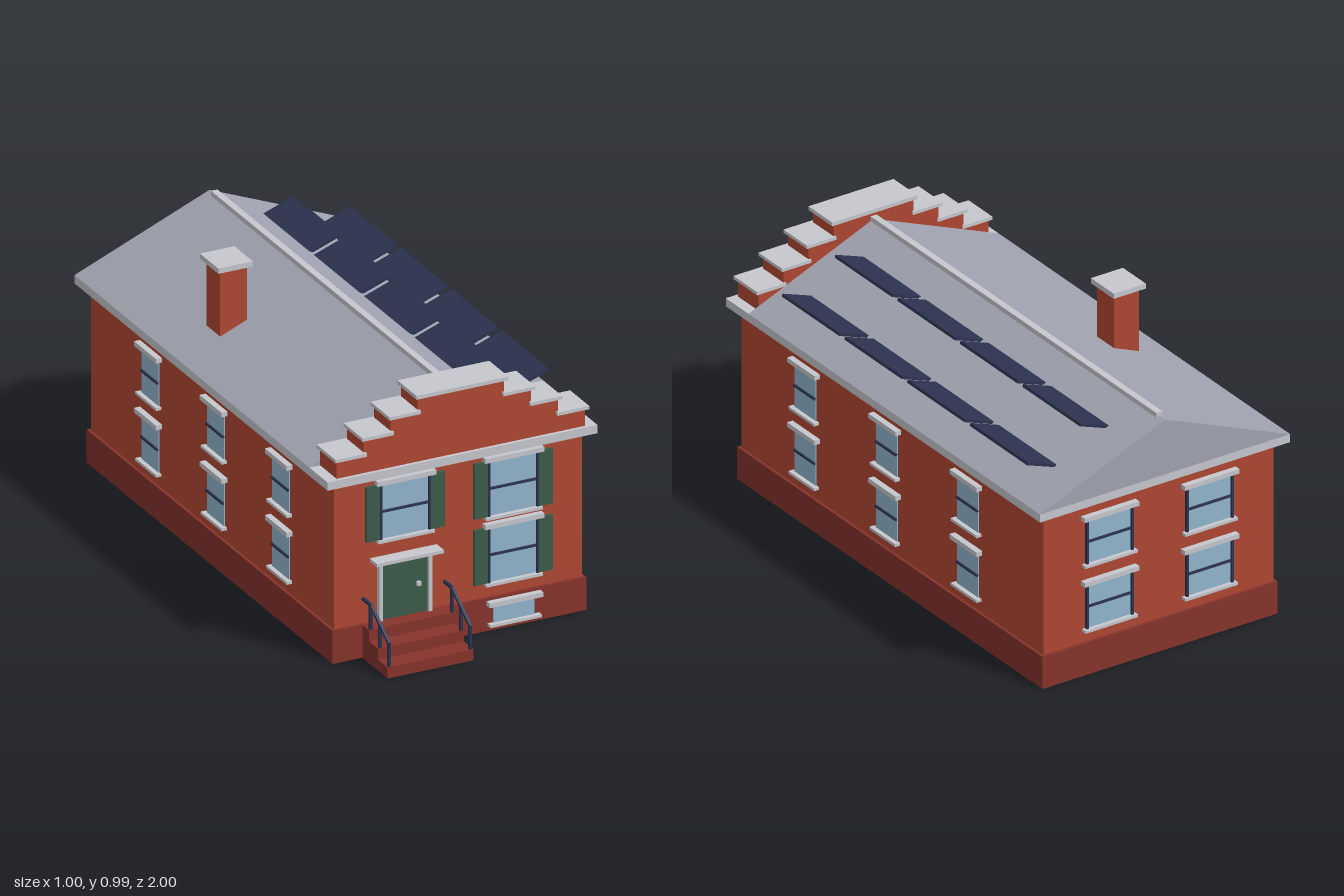
import * as THREE from 'three';

const mat = (name, color) => {
  const m = new THREE.MeshStandardMaterial({ color });
  m.name = name;
  return m;
};

export function createModel() {
  const brick = mat('brick red', 0xb04733);
  const stone = mat('dark red base', 0x86332c);
  const trim = mat('pale grey trim', 0xc6c8ce);
  const slate = mat('roof grey', 0xa0a3b0);
  const glass = mat('window blue', 0x92b5cd);
  const green = mat('shutter green', 0x3c5b4a);
  const navy = mat('dark navy', 0x2c3350);

  const model = new THREE.Group();
  model.name = 'brickHouse';

  // Box given by its minimum and maximum on each axis
  function box(name, m, x0, x1, y0, y1, z0, z1, parent = model) {
    const mesh = new THREE.Mesh(new THREE.BoxGeometry(x1 - x0, y1 - y0, z1 - z0), m);
    mesh.position.set((x0 + x1) / 2, (y0 + y1) / 2, (z0 + z1) / 2);
    mesh.name = name;
    parent.add(mesh);
    return mesh;
  }

  // Body
  box('foundation', stone, -0.47, 0.47, 0, 0.12, -0.97, 0.815);
  box('walls', brick, -0.46, 0.46, 0.12, 0.646, -0.96, 0.805);
  box('cornice', trim, -0.5, 0.5, 0.645, 0.675, -1, 0.838);

  // Gabled roof with ridge cap
  const gable = new THREE.Shape([
    new THREE.Vector2(-0.5, 0.675), new THREE.Vector2(0.5, 0.675), new THREE.Vector2(0, 0.88),
  ]);
  const roof = new THREE.Mesh(new THREE.ExtrudeGeometry(gable, { depth: 1.705, bevelEnabled: false }), slate);
  roof.position.z = -1;
  roof.name = 'roof';
  model.add(roof);
  box('ridgeCap', trim, -0.012, 0.012, 0.868, 0.893, -0.966, 0.705);

  // Stepped front parapet with capstones
  const steps = [[0.46, 0.738], [0.36, 0.795], [0.26, 0.851], [0.16, 0.906]];
  const outline = [];
  let low = 0.675;
  for (const [x, y] of steps) {
    outline.push(new THREE.Vector2(x, low), new THREE.Vector2(x, y));
    low = y;
  }
  const mirrored = outline.map((p) => new THREE.Vector2(-p.x, p.y)).reverse();
  const parapet = new THREE.Mesh(
    new THREE.ExtrudeGeometry(new THREE.Shape([...outline, ...mirrored]), { depth: 0.12, bevelEnabled: false }), brick);
  parapet.position.z = 0.705;
  parapet.name = 'steppedParapet';
  model.add(parapet);
  steps.forEach(([x, y], i) => {
    if (i === 3) {
      box('topCapstone', trim, -0.17, 0.17, y, y + 0.014, 0.698, 0.837);
      return;
    }
    box('capstone', trim, x - 0.107, x + 0.01, y, y + 0.012, 0.698, 0.837);
    box('capstone', trim, -x - 0.01, 0.107 - x, y, y + 0.012, 0.698, 0.837);
  });

  // Chimney
  box('chimney', brick, -0.352, -0.253, 0.7, 0.974, -0.331, -0.232);
  box('chimneyCap', trim, -0.367, -0.239, 0.973, 0.992, -0.35, -0.216);

  // Solar panels, tilted up towards the eave
  for (const [x, y] of [[0.181, 0.845], [0.392, 0.763]]) {
    for (let i = 0; i < 4; i++) {
      const panel = box('solarPanel', navy, -0.0605, 0.0605, -0.005, 0.005, -0.168, 0.168);
      panel.position.set(x, y, -0.683 + i * 0.366);
      panel.rotation.z = THREE.MathUtils.degToRad(20);
    }
  }

  // Window facing +z, wall plane at z = 0, bottom centre of the glass at (x, y, z)
  function addWindow(x, y, z, turn, w, h, o = {}) {
    const g = new THREE.Group();
    g.name = 'window';
    const r = w / 2;
    box('glass', glass, -r, r, 0, h, -0.005, 0.004, g);
    box('lintel', trim, -r - o.over, r + o.over, h, h + 0.017, -0.005, 0.022, g);
    box('sill', trim, -r - o.over + 0.004, r + o.over - 0.004, -0.01, 0, -0.005, 0.02, g);
    if (o.bar !== false) box('sashBar', navy, -r, r, h / 2 - 0.004, h / 2 + 0.004, -0.005, 0.01, g);
    for (const s of [-1, 1]) {
      if (o.frame) {
        const a = s * r, b = s * (r + 0.008);
        box('sideFrame', navy, Math.min(a, b), Math.max(a, b), 0, h, -0.005, 0.012, g);
      }
      if (o.shutters) {
        const c = s * (r + 0.0335);
        box('shutter', green, c - 0.026, c + 0.026, 0, h, -0.005, 0.011, g);
      }
    }
    g.position.set(x, y, z);
    g.rotation.y = turn;
    model.add(g);
  }

  // Front windows and basement window
  const large = { over: 0.023, frame: true };
  for (const [x, y] of [[-0.2, 0.414], [0.2, 0.414], [0.2, 0.173]]) {
    addWindow(x, y, 0.805, 0, 0.172, 0.2, { ...large, shutters: true });
  }
  addWindow(0.2, 0.028, 0.815, 0, 0.153, 0.064, { over: 0.023, bar: false });

  // Back and side windows on two floors
  for (const y of [0.413, 0.171]) {
    for (const s of [-1, 1]) {
      addWindow(s * 0.2, y, -0.96, Math.PI, 0.172, 0.164, large);
      for (const z of [0.426, -0.048, -0.523]) {
        addWindow(s * 0.46, y, z, s * Math.PI / 2, 0.123, 0.164, { over: 0.018 });
      }
    }
  }

  // Front door
  box('door', green, -0.288, -0.116, 0.12, 0.322, 0.8, 0.812);
  box('doorJamb', trim, -0.3, -0.287, 0.12, 0.338, 0.8, 0.822);
  box('doorJamb', trim, -0.117, -0.104, 0.12, 0.338, 0.8, 0.822);
  box('doorHead', trim, -0.288, -0.116, 0.322, 0.338, 0.8, 0.822);
  box('doorHood', trim, -0.327, -0.079, 0.338, 0.35, 0.8, 0.857);
  box('doorKnob', trim, -0.159, -0.145, 0.221, 0.235, 0.81, 0.824);

  // Entrance steps
  [1, 0.93, 0.865].forEach((z, i) => {
    box('step', stone, -0.36, -0.042, i * 0.04, i * 0.04 + 0.04, 0.81, z);
  });

  // Handrails: posts, sloping rail and level rail
  for (const x of [-0.352, -0.051]) {
    const x0 = x - 0.005, x1 = x + 0.005;
    [0.993, 0.927, 0.861].forEach((z, i) => {
      box('railPost', navy, x0, x1, 0.04 + i * 0.04, 0.126 + i * 0.042, z - 0.005, z + 0.005);
    });
    box('levelRail', navy, x0, x1, 0.204, 0.214, 0.805, 0.866);
    const run = 0.132, rise = 0.084, len = Math.hypot(run, rise);
    const rail = box('slopingRail', navy, x0, x1, -0.005, 0.005, -len / 2 - 0.003, len / 2 + 0.003);
    rail.position.set(x, 0.167, 0.928);
    rail.rotation.x = Math.atan2(rise, run);
  }

  return model;
}
